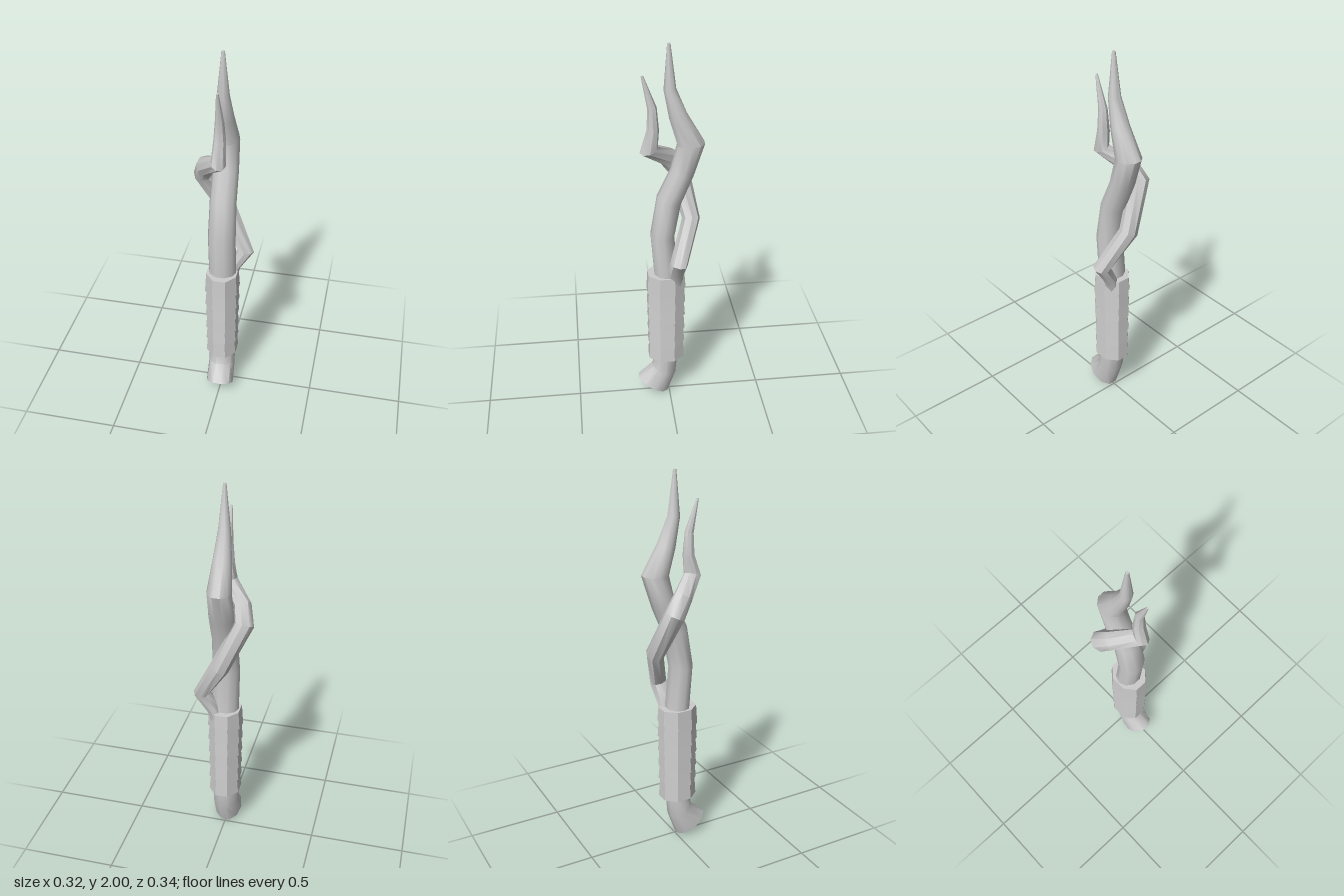
import * as THREE from 'three';
import { toCreasedNormals } from 'three/addons/utils/BufferGeometryUtils.js';

const material = new THREE.MeshStandardMaterial({ color: 0xcccccc });

// Skin a list of equal-sized rings (bottom to top) and cap both ends.
function loft(rings, crease) {
  const n = rings[0].length;
  const points = rings.flat();
  const index = [];
  for (let r = 0; r < rings.length - 1; r++) {
    for (let i = 0; i < n; i++) {
      const a = r * n + i, b = r * n + (i + 1) % n;
      index.push(a, b, a + n, b, b + n, a + n);
    }
  }
  const last = (rings.length - 1) * n;
  for (let i = 1; i < n - 1; i++) {
    index.push(0, i + 1, i, last, last + i, last + i + 1);
  }
  const geometry = new THREE.BufferGeometry().setFromPoints(points);
  geometry.setIndex(index);
  return toCreasedNormals(geometry, crease);
}

// Sweep an ellipse along a bent path; each stop is [x, y, z, radiusX, radiusZ].
function limb(name, stops, sides) {
  const centres = stops.map(([x, y, z]) => new THREE.Vector3(x, y, z));
  const rings = stops.map(([, , , rx, rz = rx], k) => {
    const before = centres[Math.max(k - 1, 0)];
    const after = centres[Math.min(k + 1, centres.length - 1)];
    const c = centres[k];
    // the ring bisects the bend between its two segments
    const t = c.clone().sub(before).normalize().add(after.clone().sub(c).normalize()).normalize();
    const u = new THREE.Vector3(1, 0, 0).addScaledVector(t, -t.x).normalize();
    const v = new THREE.Vector3().crossVectors(t, u);
    return Array.from({ length: sides }, (_, i) => {
      const a = (i / sides) * Math.PI * 2;
      return c.clone().addScaledVector(u, Math.cos(a) * rx).addScaledVector(v, Math.sin(a) * rz);
    });
  });
  const mesh = new THREE.Mesh(loft(rings, 0.75), material);
  mesh.name = name;
  return mesh;
}

// One octagonal ring of the grip; lift raises its front and back corners.
function octagon(y, halfX, halfZ, lift, tilt) {
  return Array.from({ length: 8 }, (_, i) => {
    const a = ((i + 0.5) / 8) * Math.PI * 2;
    const x = Math.cos(a) / Math.cos(Math.PI / 8), z = -Math.sin(a) / Math.cos(Math.PI / 8);
    const raise = Math.abs(z) > 0.9 ? lift : 0;
    return new THREE.Vector3(x * halfX, y + raise - z * tilt, 0.016 + z * halfZ);
  });
}

// Overlapping bands, each flaring a little over the one below.
function buildGrip() {
  const grip = new THREE.Group();
  grip.name = 'grip';
  const edges = [0.245, 0.33, 0.41, 0.495, 0.575, 0.665, 0.775];
  for (let i = 0; i < 6; i++) {
    const bottom = edges[i], top = edges[i + 1];
    const lowLift = i === 0 ? 0 : 0.02, topLift = i === 5 ? 0 : 0.02;
    const lowTilt = i * 0.003, topTilt = i === 5 ? 0 : (i + 1) * 0.003;
    const grow = i * 0.001;
    const rings = [
      octagon(bottom, 0.06, 0.06, lowLift, lowTilt),
      octagon(bottom, 0.081 + grow, 0.095 + grow, lowLift, lowTilt),
      octagon(top, 0.074 + grow, 0.089 + grow, topLift, topTilt),
      octagon(top, 0.06, 0.06, topLift, topTilt),
    ];
    const band = new THREE.Mesh(loft(rings, 0.3), material);
    band.name = 'gripBand' + (i + 1);
    grip.add(band);
  }
  return grip;
}

export function createModel() {
  const model = new THREE.Group();
  model.name = 'staff';

  // thick main stem: bent foot, gentle S curve, pointed tip
  model.add(limb('mainStem', [
    [0, 0.05, 0.09, 0.074, 0.097],
    [0, 0.15, 0.028, 0.072, 0.068],
    [0, 0.25, 0.018, 0.072, 0.066],
    [0, 0.78, 0.015, 0.072, 0.064],
    [0, 1.0, 0.034, 0.072, 0.062],
    [0, 1.2, 0.0, 0.068, 0.064],
    [0, 1.35, -0.065, 0.066, 0.06],
    [0, 1.5, -0.108, 0.062, 0.07],
    [0, 1.64, -0.046, 0.047, 0.047],
    [0, 1.78, -0.005, 0.031, 0.031],
    [0, 2.0, 0, 0.008, 0.008],
  ], 10));

  // thin branch: leaves the left side, winds round the back, ends in front
  model.add(limb('windingBranch', [
    [0.035, 0.72, -0.025, 0.035, 0.04],
    [0.055, 0.79, -0.03, 0.034, 0.042],
    [0.112, 0.885, -0.038, 0.044, 0.046],
    [0.0, 1.09, -0.112, 0.05, 0.046],
    [-0.112, 1.32, -0.06, 0.05, 0.055],
    [-0.09, 1.395, -0.005, 0.045, 0.05],
    [-0.003, 1.475, 0.098, 0.038, 0.047],
    [0, 1.58, 0.077, 0.031, 0.03],
    [0, 1.69, 0.08, 0.022, 0.023],
    [0, 1.85, 0.125, 0.006, 0.006],
  ], 8));

  model.add(buildGrip());
  return model;
}
